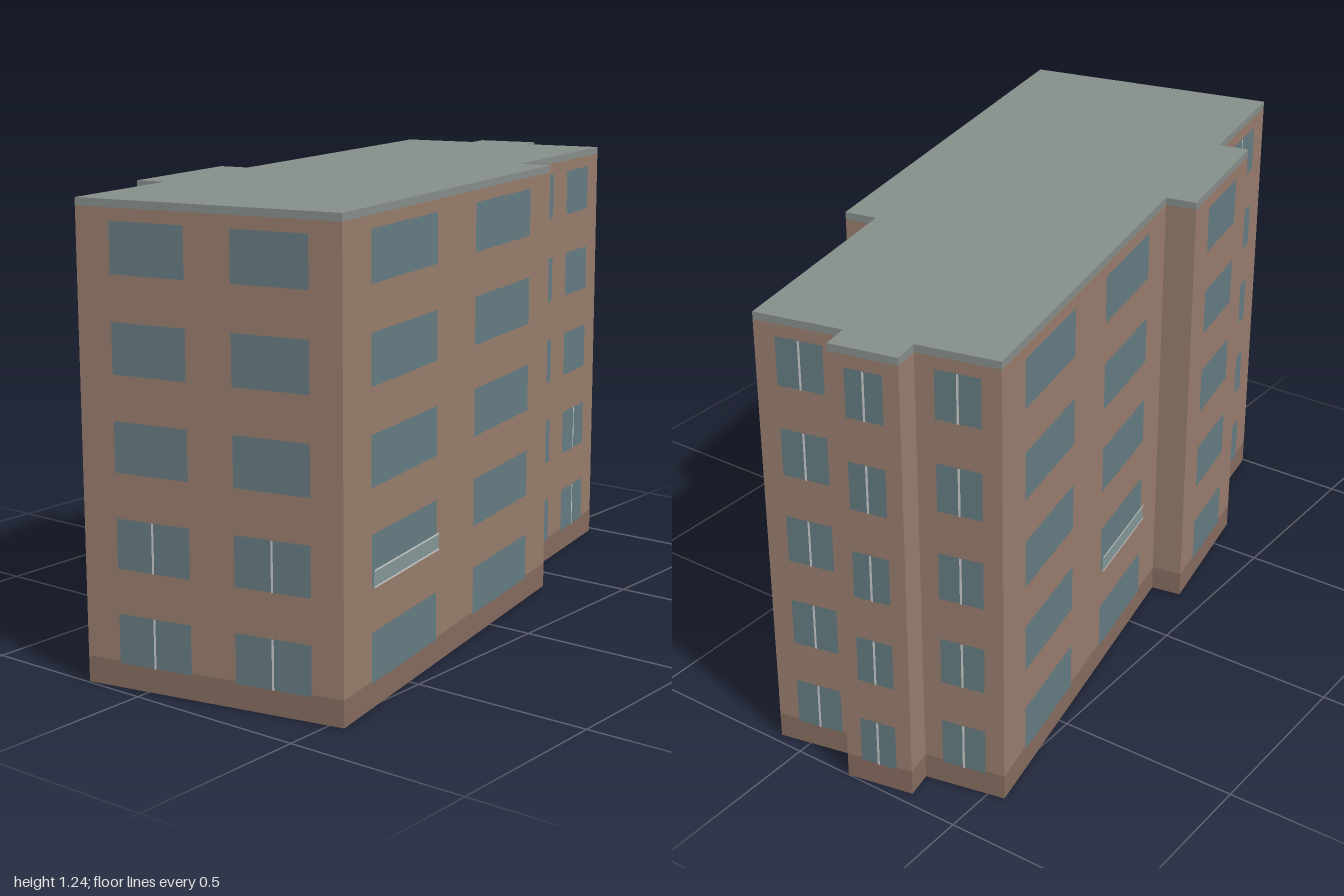
import * as THREE from 'three';

const HEIGHT = 1.235, PLINTH = 0.07, PARAPET = 1.215, STOREY = 0.247, FLOORS = 5;

// Footprint corners (x, z); wall i runs from corner i to corner i + 1
const PLAN = [
  [-0.175, 0.995], [0.54, 0.85], [0.295, -0.385], [0.205, -0.37], [0.085, -0.975],
  [-0.15, -0.925], [-0.165, -1], [-0.345, -0.965], [-0.33, -0.89], [-0.545, -0.845],
  [-0.335, 0.185], [-0.42, 0.2], [-0.335, 0.62], [-0.25, 0.605],
];

// Window columns: wall index, spans along the wall, number of floors with a centre mullion
const WINDOWS = [
  { wall: 0, spans: [[0.133, 0.42], [0.594, 0.881]], mullions: 2 },
  { wall: 1, spans: [[0.113, 0.405], [0.591, 0.883]], mullions: 0 },
  { wall: 3, spans: [[0.124, 0.405], [0.58, 0.86]], mullions: 2 },
  { wall: 4, spans: [[0.24, 0.77]], mullions: FLOORS },
  { wall: 6, spans: [[0.23, 0.77]], mullions: FLOORS },
  { wall: 8, spans: [[0.23, 0.77]], mullions: FLOORS },
  { wall: 9, spans: [[0.12, 0.405], [0.595, 0.88]], mullions: 0 },
  { wall: 11, spans: [[0.235, 0.765]], mullions: 0 },
  { wall: 13, spans: [[0.22, 0.78]], mullions: FLOORS },
];

const material = (color, side = THREE.FrontSide) => new THREE.MeshStandardMaterial({ color, side });

export function createModel() {
  const model = new THREE.Group();
  model.name = 'apartmentBlock';
  const brick = material(0x987d6d, THREE.DoubleSide);
  const darkBrick = material(0x866c5f, THREE.DoubleSide);
  const roofGrey = material(0x868e8a, THREE.DoubleSide);
  const glass = material(0x657c82);
  const white = material(0xc4c8c8);
  const balconyGlass = material(0x849696, THREE.DoubleSide);

  const groups = {};
  const group = (name) => {
    if (!groups[name]) {
      groups[name] = new THREE.Group();
      groups[name].name = name;
      model.add(groups[name]);
    }
    return groups[name];
  };

  // Upright rectangle on a wall, from t0 to t1 along it, pushed out by offset
  function panel(parent, name, wall, t0, t1, y0, y1, offset, mat) {
    const [ax, az] = PLAN[wall], [bx, bz] = PLAN[(wall + 1) % PLAN.length];
    const dx = bx - ax, dz = bz - az, length = Math.hypot(dx, dz), t = (t0 + t1) / 2;
    const mesh = new THREE.Mesh(new THREE.PlaneGeometry(length * (t1 - t0), y1 - y0), mat);
    mesh.name = name;
    mesh.rotation.y = Math.atan2(-dz, dx);
    mesh.position.set(ax + dx * t - (dz / length) * offset, (y0 + y1) / 2, az + dz * t + (dx / length) * offset);
    group(parent).add(mesh);
  }

  const wallLength = (i) => {
    const a = PLAN[i], b = PLAN[(i + 1) % PLAN.length];
    return Math.hypot(b[0] - a[0], b[1] - a[1]);
  };

  // Walls in three bands, open underneath
  PLAN.forEach((_, i) => {
    panel('plinth', 'plinthWall', i, 0, 1, 0, PLINTH, 0, darkBrick);
    panel('walls', 'wall', i, 0, 1, PLINTH, PARAPET, 0, brick);
    panel('parapet', 'parapetWall', i, 0, 1, PARAPET, HEIGHT, 0, roofGrey);
  });

  // Flat roof
  const outline = new THREE.Shape(PLAN.map(([x, z]) => new THREE.Vector2(x, -z)));
  const roof = new THREE.Mesh(new THREE.ShapeGeometry(outline).rotateX(-Math.PI / 2), roofGrey);
  roof.name = 'roof';
  roof.position.y = HEIGHT;
  model.add(roof);

  // Windows and mullions
  for (const { wall, spans, mullions } of WINDOWS) {
    const half = 0.003 / wallLength(wall);
    for (const [t0, t1] of spans) {
      for (let floor = 0; floor < FLOORS; floor++) {
        const y = 0.065 + floor * STOREY, mid = (t0 + t1) / 2;
        panel('windows', 'window', wall, t0, t1, y, y + 0.13, 0.002, glass);
        if (floor < mullions) panel('mullions', 'mullion', wall, mid - half, mid + half, y, y + 0.13, 0.004, white);
      }
    }
  }

  // Shallow glazed railings on the second storey, one on each long side
  for (const [wall, t0, t1] of [[1, 0.113, 0.405], [9, 0.595, 0.88]]) {
    panel('railings', 'railingGlass', wall, t0, t1, 0.31, 0.355, 0.008, balconyGlass);
    for (const y of [0.31, 0.352]) panel('railings', 'railingBar', wall, t0, t1, y, y + 0.005, 0.01, white);
  }
  return model;
}
